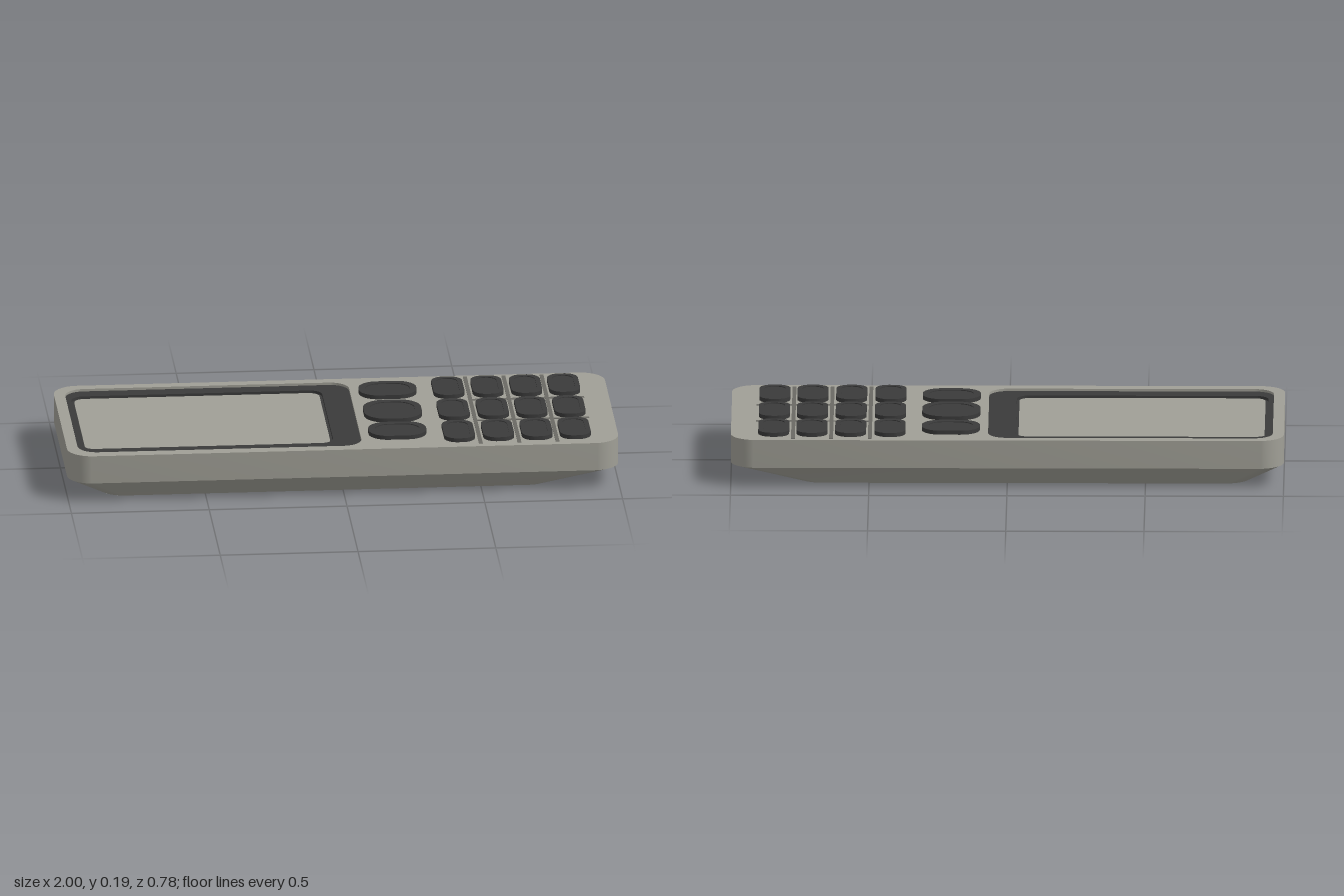
import * as THREE from 'three';
import { toCreasedNormals } from 'three/addons/utils/BufferGeometryUtils.js';

const shell = new THREE.MeshStandardMaterial({ color: 0xa09f96, side: THREE.DoubleSide });
shell.name = 'shell grey';
const dark = new THREE.MeshStandardMaterial({ color: 0x3a3a3a });
dark.name = 'dark rubber';
const seam = new THREE.MeshStandardMaterial({ color: 0x6a6964 });
seam.name = 'seam grey';

const WAIST = 0.073, TOP = 0.177, KEY_TOP = 0.192;

// Rounded rectangle from x0 to x1 and z0 to z1 (shape y is -z)
function outline(x0, x1, z0, z1, r, Type = THREE.Shape) {
  const s = new Type(), a = -z1, b = -z0, q = Math.PI / 2;
  s.absarc(x1 - r, a + r, r, -q, 0);
  s.absarc(x1 - r, b - r, r, 0, q);
  s.absarc(x0 + r, b - r, r, q, 2 * q);
  s.absarc(x0 + r, a + r, r, 2 * q, 3 * q);
  s.closePath();
  return s;
}

// Flat slab standing between two heights
function slab(name, shape, y0, y1, material) {
  const g = new THREE.ExtrudeGeometry(shape, { depth: y1 - y0, bevelEnabled: false, curveSegments: 8 });
  g.rotateX(-Math.PI / 2).translate(0, y0, 0);
  const mesh = new THREE.Mesh(toCreasedNormals(g, 0.5), material);
  mesh.name = name;
  return mesh;
}

// Sloping wall between two outlines
function loft(lower, y0, upper, y1) {
  const a = lower.getPoints(8), b = upper.getPoints(8), n = Math.min(a.length, b.length), pos = [];
  const put = (p, y) => pos.push(p.x, y, -p.y);
  for (let i = 0; i < n; i++) {
    const j = (i + 1) % n;
    put(a[i], y0); put(a[j], y0); put(b[j], y1);
    put(a[i], y0); put(b[j], y1); put(b[i], y1);
  }
  const g = new THREE.BufferGeometry();
  g.setAttribute('position', new THREE.Float32BufferAttribute(pos, 3));
  g.computeVertexNormals();
  return toCreasedNormals(g, 0.5);
}

// Key with a raised rim and a shallow dish
function key(name, cx, cz, w, d, r, rim) {
  const group = new THREE.Group();
  group.name = name;
  const x0 = cx - w / 2, x1 = cx + w / 2, z0 = cz - d / 2, z1 = cz + d / 2;
  const inner = [x0 + rim, x1 - rim, z0 + rim, z1 - rim, r - rim * 0.7];
  const ring = outline(x0, x1, z0, z1, r);
  ring.holes.push(outline(...inner, THREE.Path));
  group.add(slab('keyRim', ring, TOP - 0.01, KEY_TOP, dark));
  group.add(slab('keyDish', outline(...inner), TOP - 0.01, KEY_TOP - 0.003, dark));
  return group;
}

export function createModel() {
  const model = new THREE.Group();
  model.name = 'handset';
  const add = (name, geometry, material) => {
    const mesh = new THREE.Mesh(geometry, material);
    mesh.name = name;
    model.add(mesh);
    return mesh;
  };

  // Upper case with the display opening
  const bezelBox = [-0.96, 0.07, -0.35, 0.345, 0.07];
  const screenBox = [-0.94, -0.03, -0.295, 0.282, 0.045];
  const upper = outline(-1, 1, -0.388, 0.388, 0.09);
  upper.holes.push(outline(...bezelBox, THREE.Path));
  model.add(slab('upperCase', upper, WAIST, TOP, shell));

  // Tapered lower case
  const base = outline(-0.88, 0.76, -0.32, 0.32, 0.09);
  add('lowerCase', loft(base, 0, outline(-1, 1, -0.388, 0.388, 0.09), WAIST), shell);

  // Underside with a round lens recess
  const lensX = -0.58, lensR = 0.048;
  const hole = new THREE.Path();
  hole.absarc(lensX, 0, lensR, 0, Math.PI * 2);
  base.holes.push(hole);
  add('underside', new THREE.ShapeGeometry(base, 12).rotateX(Math.PI / 2), shell);
  add('lensWell', new THREE.CylinderGeometry(lensR, lensR, 0.035, 24, 1, true), shell)
    .position.set(lensX, 0.0175, 0);
  add('lens', new THREE.CylinderGeometry(lensR, lensR, 0.005, 24), dark).position.set(lensX, 0.0375, 0);

  // Recessed dark bezel, display edge and display
  const bezel = outline(...bezelBox);
  bezel.holes.push(outline(...screenBox, THREE.Path));
  model.add(slab('bezel', bezel, 0.14, 0.168, dark));
  model.add(slab('displayEdge', outline(-0.945, -0.025, -0.3, 0.287, 0.05), 0.135, 0.158, dark));
  model.add(slab('display', outline(-0.93, -0.04, -0.285, 0.272, 0.04), 0.14, 0.162, shell));

  // Three navigation keys
  [[-0.23, 0.155, 0.07], [0, 0.208, 0.08], [0.215, 0.155, 0.07]].forEach(([z, d, r]) =>
    model.add(key('navigationKey', 0.205, z, 0.21, d, r, 0.024)));

  // Number keys, four columns by three rows
  for (const x of [0.425, 0.567, 0.707, 0.845])
    for (const z of [-0.24, 0, 0.238])
      model.add(key('numberKey', x, z, 0.112, 0.203, 0.048, 0.018));

  // Thin seams between the keys
  for (const x of [0.497, 0.637, 0.775])
    add('columnSeam', new THREE.BoxGeometry(0.014, 0.004, 0.73), seam).position.set(x, TOP, -0.005);
  for (const z of [-0.12, 0.107])
    add('rowSeam', new THREE.BoxGeometry(0.42, 0.003, 0.014), seam).position.set(0.7, TOP, z);

  return model;
}
